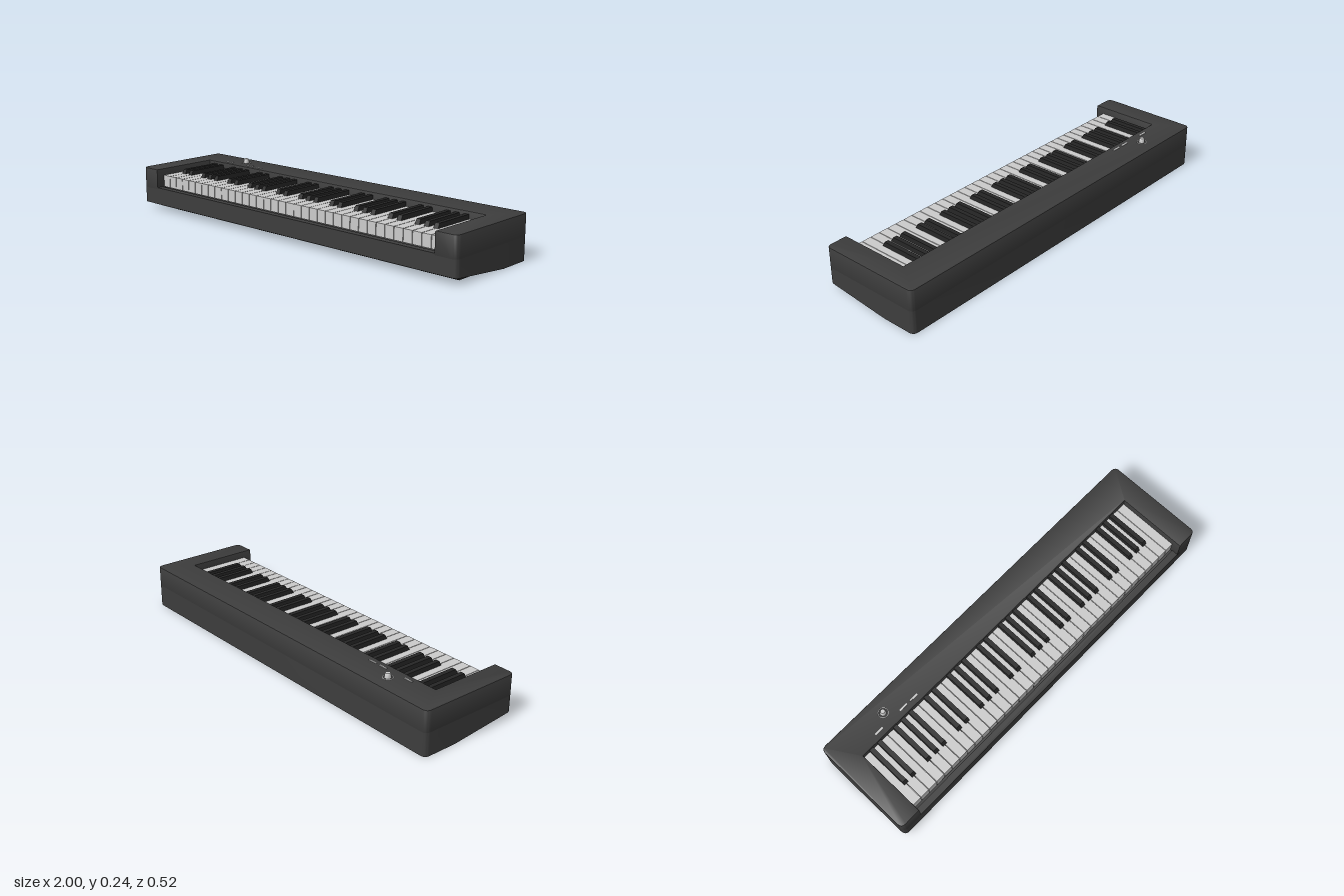
import * as THREE from 'three';
import { toCreasedNormals } from 'three/addons/utils/BufferGeometryUtils.js';

const caseMat = new THREE.MeshStandardMaterial({ color: 0x3d3d3d });
const darkMat = new THREE.MeshStandardMaterial({ color: 0x262626 });
const greyMat = new THREE.MeshStandardMaterial({ color: 0xcccccc });

const TOP = 0.215, BED = 0.112, FRONT = 0.26, BREAK = -0.085;
const KEYS_X = 0.89, KEYS_BACK = -0.1, R = 0.028;

function add(parent, name, geometry, material, x = 0, y = 0, z = 0) {
  const mesh = new THREE.Mesh(geometry, material);
  mesh.name = name;
  mesh.position.set(x, y, z);
  parent.add(mesh);
  return mesh;
}

// Extrudes a plan outline drawn in (x, z) downwards from the given top height
function plate(shape, top, bottom, bevel = 0) {
  const geometry = new THREE.ExtrudeGeometry(shape, {
    depth: top - bottom - 2 * bevel, bevelEnabled: bevel > 0, bevelThickness: bevel,
    bevelSize: bevel, bevelOffset: -bevel, bevelSegments: 2, curveSegments: 8,
  });
  geometry.rotateX(Math.PI / 2).translate(0, top - bevel, 0);
  return geometry;
}

// Full-width plan from a straight edge to an edge with rounded corners
function halfPlan(zStraight, zRound) {
  const r = Math.sign(zRound - zStraight) * R;
  const s = new THREE.Shape();
  s.moveTo(-1, zStraight);
  s.lineTo(1, zStraight);
  s.lineTo(1, zRound - r);
  s.quadraticCurveTo(1, zRound, 1 - R, zRound);
  s.lineTo(-1 + R, zRound);
  s.quadraticCurveTo(-1, zRound, -1, zRound - r);
  s.closePath();
  return s;
}

// U-shaped plan of the back panel and the two end cheeks
function surroundPlan() {
  const s = new THREE.Shape();
  s.moveTo(-KEYS_X, FRONT);
  s.lineTo(-1 + R, FRONT);
  s.quadraticCurveTo(-1, FRONT, -1, FRONT - R);
  s.lineTo(-1, -FRONT + R);
  s.quadraticCurveTo(-1, -FRONT, -1 + R, -FRONT);
  s.lineTo(1 - R, -FRONT);
  s.quadraticCurveTo(1, -FRONT, 1, -FRONT + R);
  s.lineTo(1, FRONT - R);
  s.quadraticCurveTo(1, FRONT, 1 - R, FRONT);
  s.lineTo(KEYS_X, FRONT);
  s.lineTo(KEYS_X, KEYS_BACK);
  s.lineTo(-KEYS_X, KEYS_BACK);
  s.closePath();
  return s;
}

// Black key: a box narrowed at the top with a sloping front
function blackKeyGeometry(width, height, length) {
  const geometry = new THREE.BoxGeometry(width, height, length).toNonIndexed();
  const p = geometry.attributes.position;
  for (let i = 0; i < p.count; i++) {
    if (p.getY(i) < 0) continue;
    p.setX(i, p.getX(i) * 0.78);
    if (p.getZ(i) > 0) p.setZ(i, p.getZ(i) - 0.02);
  }
  geometry.computeVertexNormals();
  return geometry;
}

function buildCase(parent) {
  const surround = plate(surroundPlan(), TOP, BED - 0.004, 0.004);
  add(parent, 'keySurround', toCreasedNormals(surround, 0.6), caseMat);

  const rear = plate(halfPlan(BREAK, -FRONT), BED, 0);
  add(parent, 'rearCase', toCreasedNormals(rear, 0.6), caseMat);

  // Underside of the front half rises towards the player
  const front = plate(halfPlan(BREAK, FRONT), BED, 0);
  const p = front.attributes.position;
  for (let i = 0; i < p.count; i++) {
    if (p.getY(i) < 0.05) p.setY(i, 0.033 * (p.getZ(i) - BREAK) / (FRONT - BREAK));
  }
  add(parent, 'frontCase', toCreasedNormals(front, 0.6), caseMat);

  // Front lip below the keys
  const lip = new THREE.BoxGeometry(2 * KEYS_X, 0.008, 0.033);
  add(parent, 'frontLip', lip, caseMat, 0, BED + 0.004, FRONT - 0.0165);

  // Raised base under the sloping part
  const side = new THREE.Shape();
  side.moveTo(-0.225, 0.034);
  side.lineTo(-0.182, 0.002);
  side.lineTo(-BREAK, 0.001);
  side.lineTo(-BREAK, 0.034);
  side.closePath();
  const base = new THREE.ExtrudeGeometry(side, { depth: 1.92, bevelEnabled: false });
  base.rotateY(Math.PI / 2).translate(-0.96, 0, 0);
  add(parent, 'base', base, darkMat);
}

function buildKeys(parent) {
  const whites = 36, pitch = 2 * KEYS_X / whites;
  const keys = new THREE.Group();
  keys.name = 'keys';
  parent.add(keys);

  const whiteGeometry = new THREE.BoxGeometry(pitch - 0.003, 0.06, 0.317);
  const blackGeometry = blackKeyGeometry(0.028, 0.04, 0.232);
  for (let i = 0; i < whites; i++) {
    const x = -KEYS_X + (i + 0.5) * pitch;
    add(keys, 'whiteKey', whiteGeometry, greyMat, x, 0.15, 0.0585);
    // Black keys follow the first, second, fourth, fifth and sixth white of an octave
    if (i < whites - 1 && [0, 1, 3, 4, 5].includes(i % 7)) {
      add(keys, 'blackKey', blackGeometry, darkMat, x + pitch / 2, 0.182, 0.016);
    }
  }
}

function buildControls(parent) {
  const controls = new THREE.Group();
  controls.name = 'controls';
  parent.add(controls);

  // Volume knob with a flat ring around it
  const profile = [[0, 0], [0.0155, 0], [0.0145, 0.008], [0.0125, 0.019], [0.0105, 0.0225], [0, 0.023]]
    .map(([r, y]) => new THREE.Vector2(r, y));
  const knob = toCreasedNormals(new THREE.LatheGeometry(profile, 28), 0.6);
  add(controls, 'volumeKnob', knob, greyMat, -0.687, TOP, -0.18);
  const ring = new THREE.TorusGeometry(0.024, 0.002, 6, 32).rotateX(Math.PI / 2);
  add(controls, 'knobRing', ring, greyMat, -0.687, TOP - 0.001, -0.18);

  // Slim push buttons
  const button = new THREE.BoxGeometry(0.046, 0.006, 0.008);
  for (const x of [-0.76, -0.605, -0.54]) {
    add(controls, 'button', button, greyMat, x, TOP, -0.131);
  }
}

export function createModel() {
  const model = new THREE.Group();
  model.name = 'keyboardPiano';
  buildCase(model);
  buildKeys(model);
  buildControls(model);
  return model;
}
